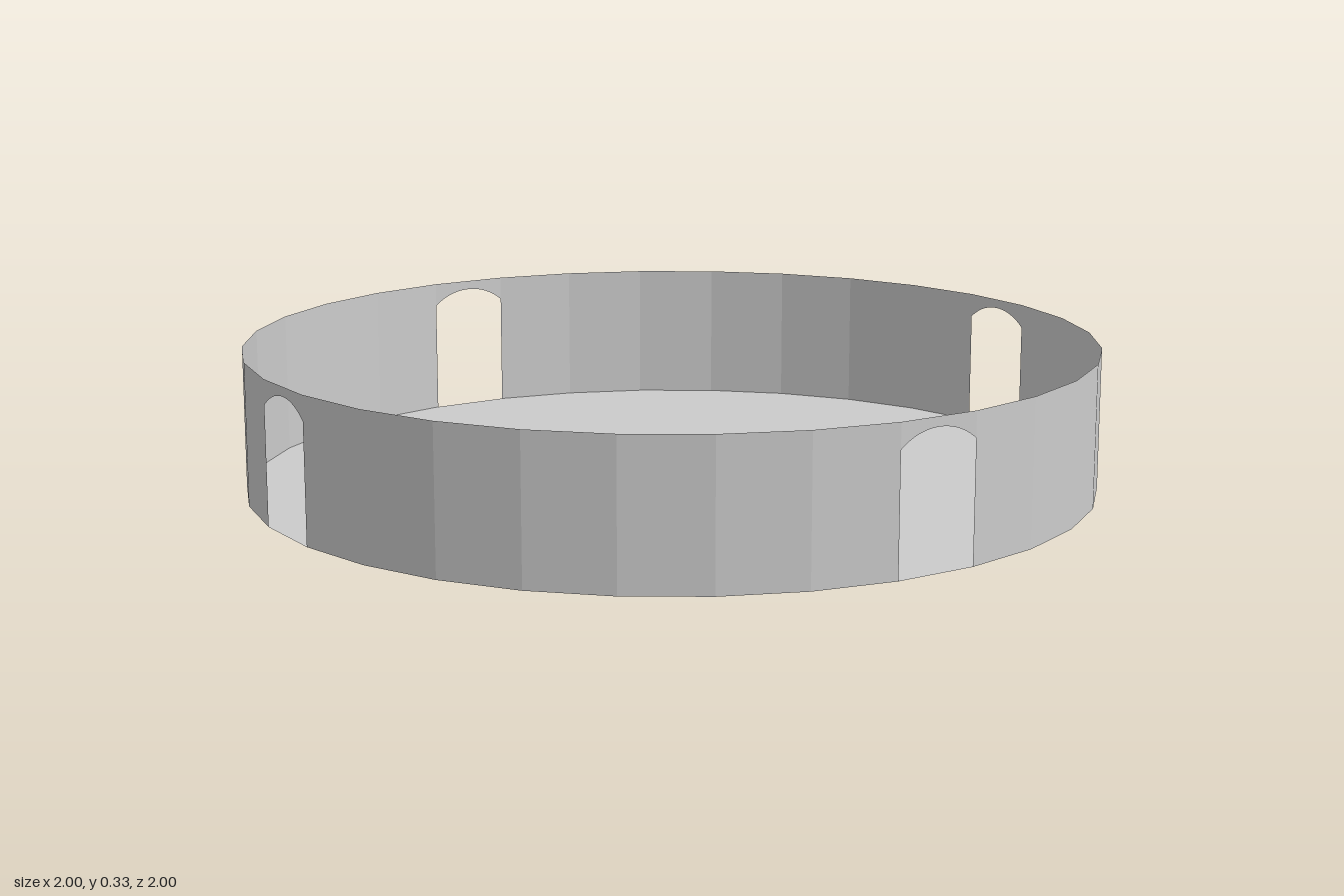
import * as THREE from 'three';
import { mergeGeometries } from 'three/addons/utils/BufferGeometryUtils.js';

const SIDES = 32, RADIUS = 1, HEIGHT = 0.333;
const STEP = (Math.PI * 2) / SIDES;
const HALF = RADIUS * Math.sin(STEP / 2); // half width of one wall panel
const APOTHEM = RADIUS * Math.cos(STEP / 2);
const SPRING = 0.275, RISE = 0.036; // doorway arch

// Plain panel of the ring wall
function solidPanel() {
  return new THREE.ShapeGeometry(new THREE.Shape([
    new THREE.Vector2(-HALF, 0), new THREE.Vector2(HALF, 0),
    new THREE.Vector2(HALF, HEIGHT), new THREE.Vector2(-HALF, HEIGHT),
  ]));
}

// Lintel over a doorway as wide as one panel, with a shallow arched underside
function lintelPanel() {
  const r = (HALF * HALF + RISE * RISE) / (2 * RISE);
  const a = Math.asin(HALF / r);
  const shape = new THREE.Shape();
  shape.moveTo(HALF, SPRING);
  shape.lineTo(HALF, HEIGHT);
  shape.lineTo(-HALF, HEIGHT);
  shape.lineTo(-HALF, SPRING);
  shape.absarc(0, SPRING + RISE - r, r, Math.PI / 2 + a, Math.PI / 2 - a, true);
  return new THREE.ShapeGeometry(shape, 10);
}

export function createModel() {
  const group = new THREE.Group();
  const material = new THREE.MeshStandardMaterial({
    color: 0xcccccc, flatShading: true, side: THREE.DoubleSide,
  });

  // Thin faceted wall, with a doorway in one panel of each quarter
  const panels = [], lintels = [];
  for (let i = 0; i < SIDES; i++) {
    const isDoor = i % (SIDES / 4) === 1;
    const panel = isDoor ? lintelPanel() : solidPanel();
    panel.translate(0, 0, APOTHEM).rotateY((i + 0.5) * STEP);
    (isDoor ? lintels : panels).push(panel);
  }
  const wall = new THREE.Mesh(mergeGeometries(panels), material);
  wall.name = 'wall';
  const arches = new THREE.Mesh(mergeGeometries(lintels), material);
  arches.name = 'doorwayArches';

  // Flat floor
  const floor = new THREE.Mesh(new THREE.CircleGeometry(RADIUS, SIDES).rotateX(-Math.PI / 2), material);
  floor.name = 'floor';

  group.add(wall, arches, floor);
  return group;
}
